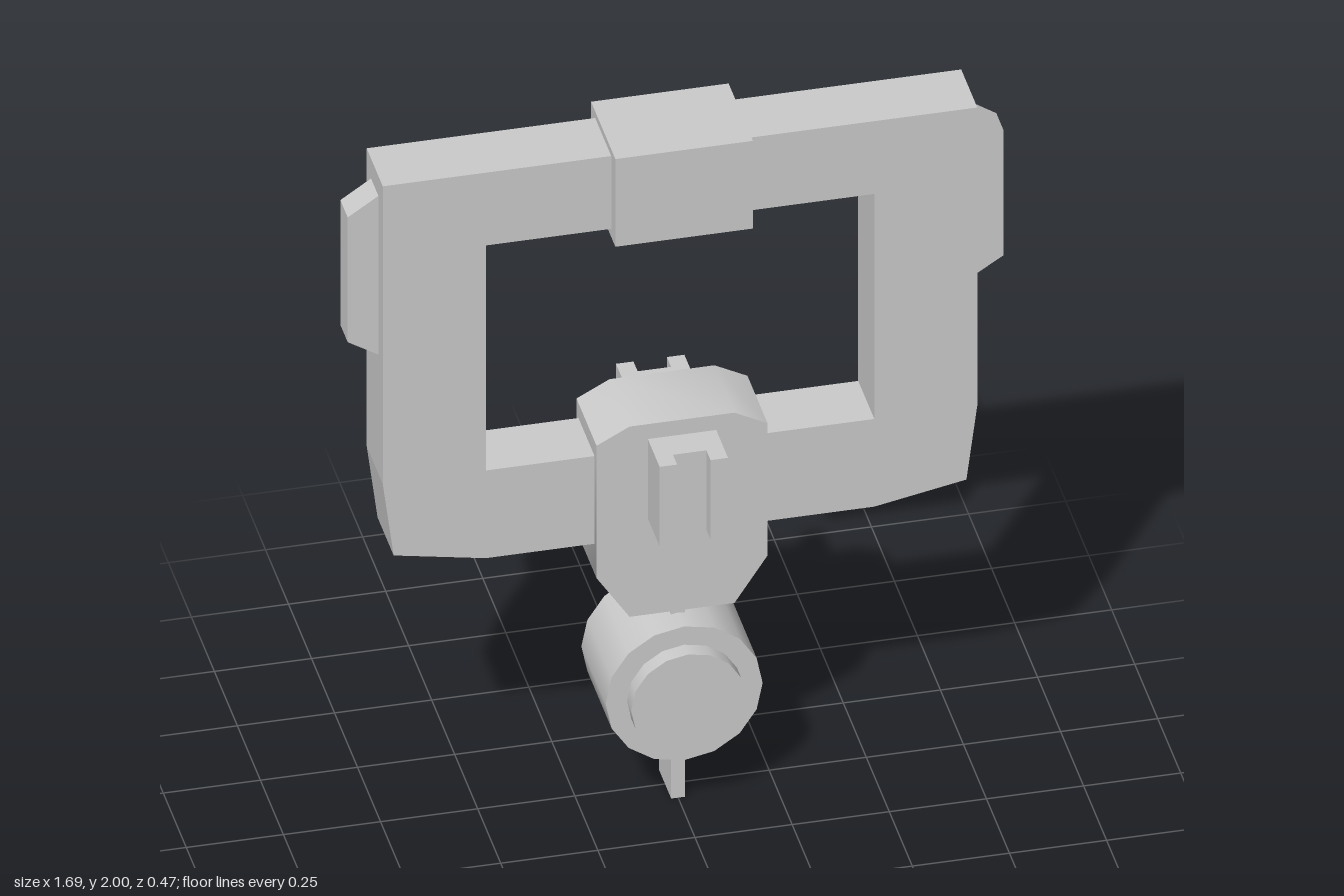
import * as THREE from 'three';
import { toCreasedNormals } from 'three/addons/utils/BufferGeometryUtils.js';

const material = new THREE.MeshStandardMaterial({ color: 0xcccccc });

export function createModel() {
  const model = new THREE.Group();
  model.name = 'model';

  const add = (name, geometry, x = 0, y = 0, z = 0) => {
    const mesh = new THREE.Mesh(geometry, material);
    mesh.name = name;
    mesh.position.set(x, y, z);
    model.add(mesh);
    return mesh;
  };
  const box = (name, w, h, d, x, y, z) => add(name, new THREE.BoxGeometry(w, h, d), x, y, z);

  // Extrusion centred on z = 0
  const plate = (points, depth, hole) => {
    const toVectors = (list) => list.map(([x, y]) => new THREE.Vector2(x, y));
    const shape = new THREE.Shape(toVectors(points));
    if (hole) shape.holes.push(new THREE.Path(toVectors(hole)));
    const geometry = new THREE.ExtrudeGeometry(shape, { depth, bevelEnabled: false });
    return geometry.translate(0, 0, -depth / 2);
  };
  // Closes a right-hand half outline with its mirror image
  const mirrored = (half) => [...half, ...half.map(([x, y]) => [-x, y]).reverse()];

  // Rectangular frame with tapered lower corners
  add('frame', plate(
    mirrored([[0.5, 0.815], [0.737, 0.86], [0.765, 1.08], [0.765, 1.98]]),
    0.175,
    mirrored([[0.5, 1.08], [0.5, 1.76]]),
  ));

  // Sleeve around the top bar
  box('topSleeve', 0.354, 0.265, 0.264, 0, 1.8675, 0);

  // Bevelled pads on both sides
  for (const side of [1, -1]) {
    const outline = [[0.765, 1.44], [0.844, 1.49], [0.844, 1.867], [0.765, 1.92]]
      .map(([x, y]) => [side * x, y]);
    const name = side > 0 ? 'leftSidePad' : 'rightSidePad';
    add(name, toCreasedNormals(plate(outline, 0.08), 0.7));
  }

  // Chamfered block on the bottom bar
  add('centreBlock', toCreasedNormals(plate(
    mirrored([[0.135, 0.595], [0.22, 0.725], [0.22, 1.125], [0.135, 1.17]]), 0.218,
  ), 0.7));

  // Grooved clips on the front and back of the block
  for (const side of [1, -1]) {
    const outline = mirrored([[0.088, 0.1], [0.088, 0.237], [0.043, 0.237], [0.043, 0.192]]);
    const geometry = plate(outline, 0.24).rotateX(Math.PI / 2);
    if (side < 0) geometry.rotateY(Math.PI);
    add(side > 0 ? 'frontClip' : 'backClip', geometry, 0, 1.005, 0);
  }

  // Drum with a narrower core showing at both ends
  const drum = (name, radius, length) => add(
    name,
    new THREE.CylinderGeometry(radius, radius, length, 16).rotateX(Math.PI / 2),
    0, 0.358, 0,
  );
  drum('drum', 0.202, 0.264);
  drum('drumCore', 0.147, 0.354);

  // Flat stem running through the drum
  box('stem', 0.036, 0.62, 0.134, 0, 0.31, 0);

  return model;
}
